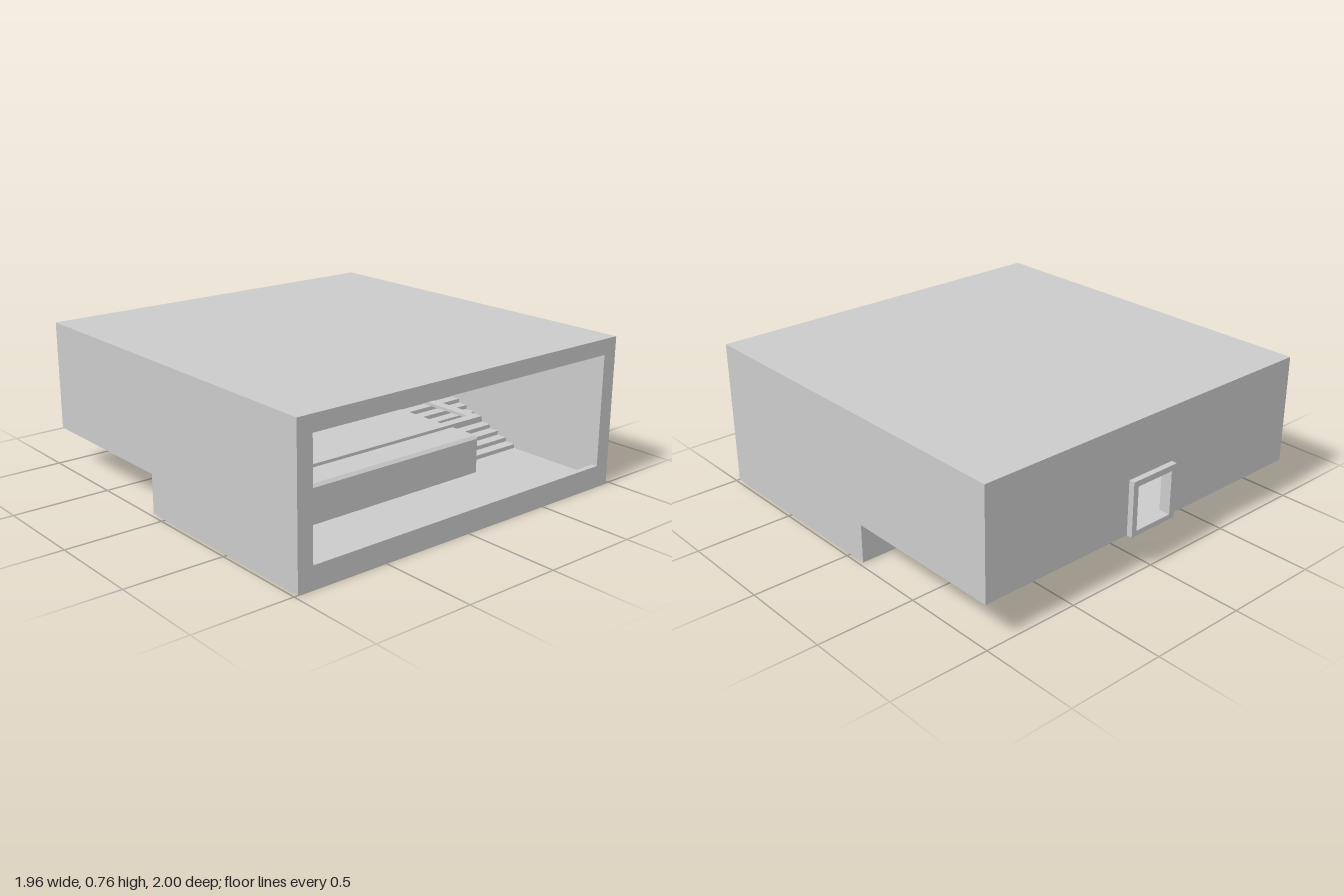
import * as THREE from 'three';

const material = new THREE.MeshStandardMaterial({ color: 0xcccccc, flatShading: true });

export function createModel() {
  const model = new THREE.Group();
  const add = (name, geometry) => {
    const mesh = new THREE.Mesh(geometry, material);
    mesh.name = name;
    model.add(mesh);
    return mesh;
  };
  // Box given by its limits on each axis
  const box = (name, [x0, x1], [y0, y1], [z0, z1]) => {
    const mesh = add(name, new THREE.BoxGeometry(x1 - x0, y1 - y0, z1 - z0));
    mesh.position.set((x0 + x1) / 2, (y0 + y1) / 2, (z0 + z1) / 2);
    return mesh;
  };
  const shapeOf = points => new THREE.Shape(points.map(p => new THREE.Vector2(...p)));
  const rect = (x0, x1, y0, y1) => [[x0, y0], [x1, y0], [x1, y1], [x0, y1]];
  // Upright panel with a rectangular hole, from z0 to z1
  const panel = (name, outer, hole, z0, z1) => {
    const shape = shapeOf(rect(...outer));
    shape.holes.push(shapeOf(rect(...hole)));
    const mesh = add(name, new THREE.ExtrudeGeometry(shape, { depth: z1 - z0, bevelEnabled: false }));
    mesh.position.z = z0;
  };
  // Side profile of [z, y] points swept from x0 to x1
  const sweepX = (name, profile, x0, x1) => {
    const shape = shapeOf(profile.map(([z, y]) => [-z, y]));
    const geometry = new THREE.ExtrudeGeometry(shape, { depth: x1 - x0, bevelEnabled: false });
    geometry.rotateY(Math.PI / 2).translate(x0, 0, 0);
    add(name, geometry);
  };

  const W = 0.98, H = 0.76, T = 0.03, back = -0.97, ledge = -0.1;
  const inner = W - T, upperFloor = 0.225, lowerFloor = T, stepZ = ledge + T;

  // Hollow stepped shell
  const sideProfile = [[1, 0], [1, H], [back, H], [back, 0.2], [ledge, 0.2], [ledge, 0]];
  sweepX('leftWall', sideProfile, inner, W);
  sweepX('rightWall', sideProfile, -W, -inner);
  box('roof', [-inner, inner], [H - T, H], [back, 1]);
  box('lowerFloor', [-inner, inner], [0, lowerFloor], [ledge, 1]);
  box('upperFloor', [-inner, inner], [0.2, upperFloor], [back, stepZ]);
  box('floorRiser', [-inner, inner], [lowerFloor, 0.2], [ledge, stepZ]);
  panel('frontFrame', [-inner, inner, lowerFloor, H - T], [-0.9, 0.9, 0.11, 0.68], 1 - T, 1);

  // Back wall and its framed doorway
  const doorway = [-0.11, 0.11, upperFloor, 0.45];
  panel('backWall', [-inner, inner, 0.2, H - T], doorway, back, back + T);
  panel('doorFrame', [-0.14, 0.14, 0.2, 0.48], doorway, -1, back);

  // Raised platform with a chamfered front edge
  const front = 0.535, c = 0.015;
  sweepX('platform', [[front, lowerFloor], [front, upperFloor - c], [front - c, upperFloor],
    [stepZ, upperFloor], [stepZ, lowerFloor]], -0.535, 0.53);

  // Thin handrail round three sides of the platform
  const r = 0.54, w = 0.05, railFront = 0.55;
  const rail = shapeOf([[-r, -railFront], [r, -railFront], [r, -stepZ], [r - w, -stepZ],
    [r - w, w - railFront], [w - r, w - railFront], [w - r, -stepZ], [-r, -stepZ]]);
  const railGeometry = new THREE.ExtrudeGeometry(rail, { depth: 0.015, bevelEnabled: false });
  add('handrail', railGeometry.rotateX(-Math.PI / 2).translate(0, 0.317, 0));

  // Stairs down to the lower floor
  const count = 9, rise = (upperFloor - lowerFloor) / count, run = 0.06;
  const stairs = [[stepZ, lowerFloor]];
  for (let i = 1; i < count; i++) {
    const y = upperFloor - i * rise;
    stairs.push([stepZ + (i - 1) * run, y], [stepZ + i * run, y]);
  }
  stairs.push([stepZ + (count - 1) * run, lowerFloor]);
  sweepX('stairs', stairs.reverse(), 0.53, inner);

  // Floor-to-ceiling screen in front of the doorway
  box('screenColumn', [-0.115, 0.11], [upperFloor, H - T], [-0.45, -0.25]);

  return model;
}
